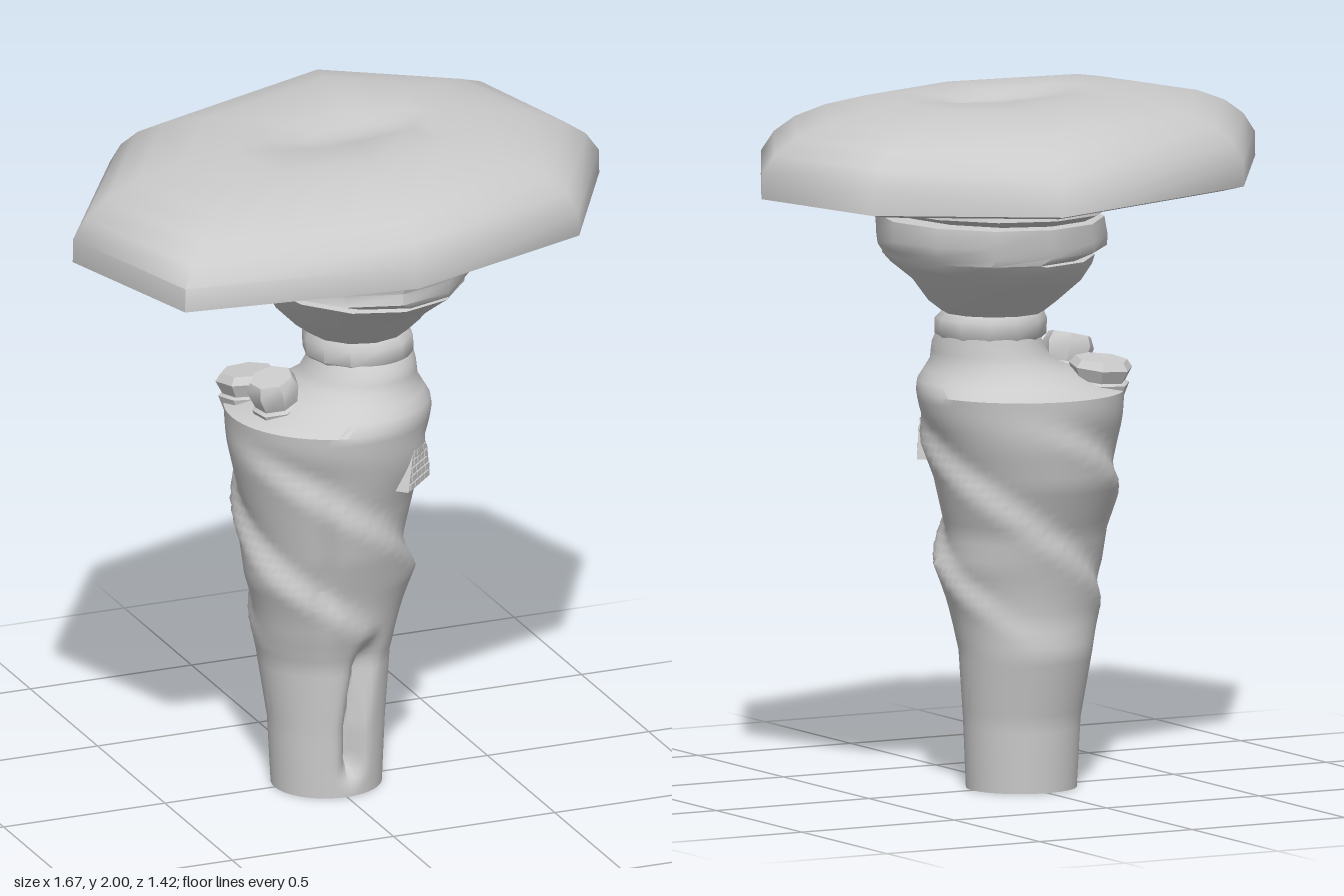
import * as THREE from 'three';
import { toCreasedNormals } from 'three/addons/utils/BufferGeometryUtils.js';

const material = new THREE.MeshStandardMaterial({ color: 0xcccccc, side: THREE.DoubleSide });
const { sin, cos, PI, exp } = Math;

// Skin a stack of closed loops (arrays of [x, y, z], running front -> +x -> back).
function skin(name, loops, crease) {
  const n = loops[0].length, index = [];
  for (let i = 0; i < loops.length - 1; i++) {
    for (let j = 0; j < n; j++) {
      const a = i * n + j, b = i * n + (j + 1) % n;
      index.push(a, b, b + n, a, b + n, a + n);
    }
  }
  const g = new THREE.BufferGeometry();
  g.setAttribute('position', new THREE.Float32BufferAttribute(loops.flat(2), 3));
  g.setIndex(index);
  const mesh = new THREE.Mesh(toCreasedNormals(g, crease), material);
  mesh.name = name;
  return mesh;
}

// Oval loop filling the extents [y, xMin, xMax, zMin, zMax], with an optional radial offset rule.
function oval([y, x0, x1, z0, z1], sides, offset = () => 0) {
  return Array.from({ length: sides }, (_, j) => {
    const a = j / sides * 2 * PI, d = offset(a, y);
    return [(x0 + x1) / 2 + ((x1 - x0) / 2 + d) * sin(a), y, (z0 + z1) / 2 + ((z1 - z0) / 2 + d) * cos(a)];
  });
}

// Insert evenly mixed rows between the given rows.
function refine(rows, step) {
  const out = [];
  for (let i = 0; i < rows.length - 1; i++) {
    const n = Math.max(1, Math.round((rows[i + 1][0] - rows[i][0]) / step));
    for (let k = 0; k < n; k++) out.push(rows[i].map((v, c) => v + (rows[i + 1][c] - v) * k / n));
  }
  return [...out, rows[rows.length - 1]];
}

// Gnarled trunk: spiral folds, and a cleft rising from the foot at the front.
function trunk() {
  const relief = (a, y) => {
    if (y < 0.03 || y > 1.16) return 0;
    const s = ((y + 0.16 * a) / 0.335 + 0.25) % 1;
    const fade = THREE.MathUtils.smoothstep(y, 0.4, 0.65) * (1 - THREE.MathUtils.smoothstep(y, 1.0, 1.12));
    const fold = (s < 0.8 ? s / 0.8 : (1 - s) / 0.2) * 0.035 - 0.022;
    const mid = 0.12 + 0.9 * Math.max(0, y - 0.2);
    const inCleft = THREE.MathUtils.smoothstep(y, 0.03, 0.1) * (1 - THREE.MathUtils.smoothstep(y, 0.38, 0.52));
    const front = a > PI ? a - 2 * PI : a;
    const cleft = -0.06 * inCleft * exp(-(((front - mid) / 0.17) ** 2));
    const sideCrease = -0.02 * exp(-(((front + 0.35) / 0.1) ** 2)) * exp(-(((y - 0.72) / 0.2) ** 2));
    return fold * fade + cleft + sideCrease;
  };
  const rows = refine([
    [0, -0.16, 0.16, -0.155, 0.155], [0.2, -0.17, 0.17, -0.165, 0.16],
    [0.4, -0.195, 0.19, -0.21, 0.17], [0.5, -0.22, 0.21, -0.205, 0.2],
    [0.65, -0.25, 0.245, -0.22, 0.23], [0.75, -0.25, 0.235, -0.235, 0.25],
    [0.9, -0.27, 0.255, -0.285, 0.265], [1.0, -0.28, 0.28, -0.295, 0.28],
    [1.15, -0.292, 0.303, -0.305, 0.298], [1.18, -0.22, 0.29, -0.21, 0.275],
    [1.24, -0.09, 0.255, -0.155, 0.215], [1.29, -0.06, 0.25, -0.14, 0.2],
    [1.315, -0.05, 0.245, -0.135, 0.18],
  ], 0.025);
  return skin('trunk', [oval([0, 0, 0, 0, 0], 64), ...rows.map(r => oval(r, 64, relief))], 0.9);
}

// Neck ring and the flaring bowl with stepped ledges under the cap.
function bowl() {
  const rows = [
    [1.29, -0.04, 0.23, -0.12, 0.16], [1.315, -0.07, 0.25, -0.14, 0.18],
    [1.36, -0.07, 0.25, -0.145, 0.18], [1.38, -0.06, 0.23, -0.135, 0.165],
    [1.41, -0.1, 0.27, -0.17, 0.2], [1.47, -0.16, 0.31, -0.25, 0.27],
    [1.52, -0.19, 0.37, -0.3, 0.33], [1.545, -0.2, 0.385, -0.315, 0.37],
    [1.55, -0.16, 0.385, -0.315, 0.36], [1.57, -0.24, 0.4, -0.325, 0.38],
    [1.6, -0.24, 0.41, -0.33, 0.37], [1.655, -0.23, 0.4, -0.335, 0.4],
    [1.66, -0.2, 0.34, -0.3, 0.38], [1.68, -0.25, 0.4, -0.34, 0.42],
    [1.705, -0.25, 0.4, -0.33, 0.42], [1.71, -0.22, 0.36, -0.3, 0.41],
    [1.78, -0.25, 0.41, -0.33, 0.43],
  ];
  return skin('bowl', rows.map(r => oval(r, 12)), 0.9);
}

// Wide eight-sided cap, flat below, domed above, with a long shallow dimple on top.
function cap() {
  const outline = [[-0.01, 0.71], [0.58, 0.49], [0.83, 0.04], [0.72, -0.41],
    [0.26, -0.71], [-0.5, -0.41], [-0.84, 0.13], [-0.7, 0.63]];
  const profile = [[0, 1.74], [0.5, 1.735], [0.9, 1.735], [1, 1.75], [0.998, 1.82], [0.95, 1.875],
    [0.87, 1.92], [0.75, 1.957], [0.58, 1.985], [0.42, 1.997], [0.3, 1.998], [0.17, 1.977], [0, 1.975]];
  const loops = profile.map(([s, y], i) => outline.map(([x, z], j) => {
    const c = i > 7 ? (i - 7) * 0.012 : 0;
    const droop = j === 4 && i > 3 && i < 7 ? 0.06 / (i - 3) : 0;
    const flat = i > 9 ? 0.6 : 1;
    return [x * s + c, y - droop, z * s * flat + c * 0.8];
  }));
  return skin('cap', loops, 1.0);
}

// Flat-topped stub lying on the shoulder.
function stub(x, y, z, r, h, tiltX, tiltZ) {
  const rows = [[0, 0.9], [0.4, 1.05], [0.45, 0.9], [0.8, 1.1], [1, 0.9], [1, 0]]
    .map(([t, s]) => oval([t * h, -r * s, r * s, -r * s, r * s], 7));
  const mesh = skin('shoulderStub', rows, 0.7);
  mesh.position.set(x, y, z);
  mesh.rotation.set(tiltX, 0, tiltZ);
  return mesh;
}

// Small tapered window with a brick infill.
function brickWindow() {
  const g = new THREE.Group();
  g.name = 'brickWindow';
  const s = new THREE.Shape([[-0.08, 0], [0.08, 0], [0.06, 0.1], [0.03, 0.125], [-0.04, 0.125]]
    .map(p => new THREE.Vector2(...p)));
  const panel = new THREE.Mesh(new THREE.ExtrudeGeometry(s, { depth: 0.05, bevelEnabled: false }), material);
  panel.name = 'windowPanel';
  g.add(panel);
  for (let row = 0; row < 5; row++) {
    const width = 0.14 - row * 0.014;
    for (let col = 0; col < 4; col++) {
      const brick = new THREE.Mesh(new THREE.BoxGeometry(width / 4 - 0.005, 0.017, 0.008), material);
      brick.name = 'brick';
      brick.position.set((col - 1.5) * width / 4 + (row % 2 ? 0.004 : -0.004), 0.014 + row * 0.023, 0.051);
      g.add(brick);
    }
  }
  g.position.set(0.168, 0.945, 0.168);
  g.rotation.y = PI / 4;
  return g;
}

export function createModel() {
  const model = new THREE.Group();
  model.name = 'mushroomTower';
  model.add(trunk(), bowl(), cap(), brickWindow(),
    stub(-0.19, 1.13, -0.11, 0.085, 0.11, -0.1, 0.05),
    stub(-0.165, 1.14, 0.06, 0.07, 0.15, 0.1, 0.25));
  return model;
}
